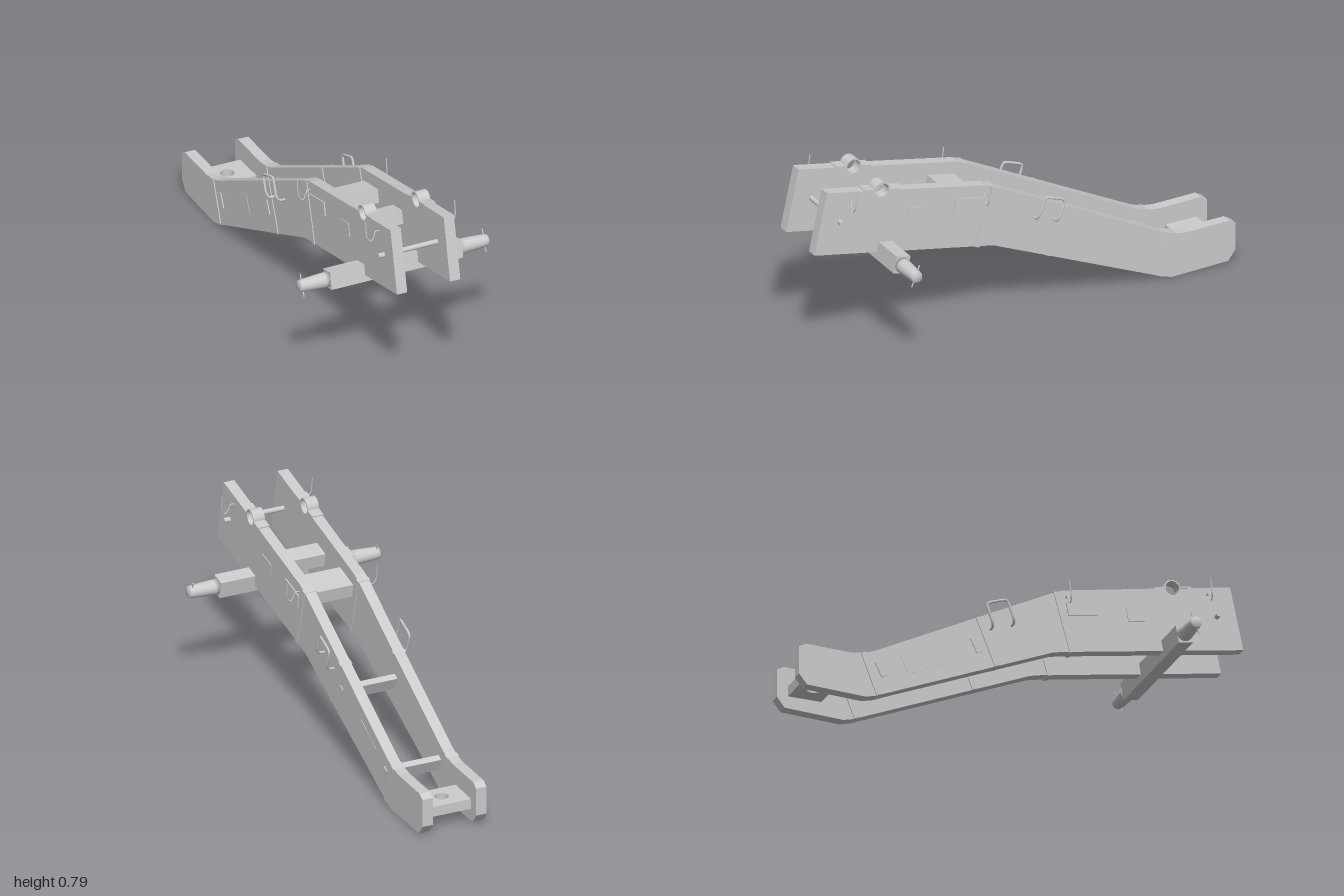
import * as THREE from 'three';

const mat = new THREE.MeshStandardMaterial({ color: 0xcccccc });
const SLOPE = 0.19; // pitch of the front part of the cheeks
const REAR = 0.455; // pitch of the rear part

export function createModel() {
  const root = new THREE.Group();

  const add = (name, geo, x = 0, y = 0, z = 0, pitch = 0) => {
    const m = new THREE.Mesh(geo, mat);
    m.name = name;
    m.position.set(x, y, z);
    m.rotation.x = pitch;
    root.add(m);
    return m;
  };
  const box = (name, w, h, d, x, y, z, pitch = 0) =>
    add(name, new THREE.BoxGeometry(w, h, d), x, y, z, pitch);
  // extrude a (z, y) side outline across x
  const sideExtrude = (name, shape, x0, x1) => {
    const g = new THREE.ExtrudeGeometry(shape, { depth: x1 - x0, bevelEnabled: false, curveSegments: 16 });
    g.rotateY(-Math.PI / 2);
    g.translate(x1, 0, 0);
    return add(name, g);
  };
  const tube = (name, pts, r, tension = 0.3) => {
    const curve = new THREE.CatmullRomCurve3(pts.map(p => new THREE.Vector3(...p)), false, 'catmullrom', tension);
    return add(name, new THREE.TubeGeometry(curve, 40, r, 8));
  };

  // cheek outline with a half-round trunnion seat in the top edge
  const seat = { z: 0.68, y: 0.741, r: 0.031 };
  const cheek = new THREE.Shape();
  cheek.moveTo(1.0, 0.512);
  cheek.lineTo(0.94, 0.79);
  cheek.absarc(seat.z, seat.y, seat.r, SLOPE, SLOPE - Math.PI, true);
  [[0.19, 0.645], [0.15, 0.63], [-0.66, 0.218], [-0.71, 0.2], [-0.77, 0.192],
    [-0.97, 0.197], [-1.0, 0.18], [-1.0, 0.055], [-0.965, 0.01], [-0.7, 0.0],
    [-0.655, 0.012], [0.14, 0.35], [0.18, 0.36]].forEach(p => cheek.lineTo(...p));
  cheek.closePath();

  // strap over the trunnion seat
  const cap = new THREE.Shape();
  cap.absarc(seat.z, seat.y, 0.037, SLOPE, SLOPE + Math.PI, false);
  cap.absarc(seat.z, seat.y, seat.r, SLOPE + Math.PI, SLOPE, true);
  cap.closePath();

  // iron bands across the cheek: lower and upper ends as [z, y]
  const bands = [
    [[0.228, 0.368], [0.155, 0.63]],
    [[-0.11, 0.246], [-0.195, 0.452]],
    [[-0.643, 0.02], [-0.712, 0.2]],
  ];

  // axle arm: tapered with a rounded end
  const armProfile = [[0, 0], [0.033, 0], [0.033, 0.02], [0.031, 0.06], [0.0275, 0.11],
    [0.026, 0.128], [0.022, 0.136], [0, 0.138]].map(p => new THREE.Vector2(...p));

  for (const s of [1, -1]) {
    const side = s > 0 ? 'left' : 'right';
    const span = (a, b) => s > 0 ? [a, b] : [-b, -a];

    sideExtrude(side + 'Cheek', cheek, ...span(0.1, 0.148));
    sideExtrude(side + 'TrunnionCap', cap, ...span(0.098, 0.151));
    for (const d of [-0.057, 0.06])
      box(side + 'CapFoot', 0.053, 0.006, 0.05, s * 0.1245, seat.y + d * SLOPE + 0.002, seat.z + d, -SLOPE);

    for (const [a, b] of bands) {
      const dz = b[0] - a[0], dy = b[1] - a[1];
      box(side + 'Band', 0.056, Math.hypot(dz, dy) + 0.004, 0.022, s * 0.124,
        (a[1] + b[1]) / 2, (a[0] + b[0]) / 2, Math.atan2(dz, dy));
    }
    // thin wear plate on the rear slope
    box(side + 'WearPlate', 0.003, 0.09, 0.16, s * 0.148, 0.213, -0.455, -REAR);

    // tool hooks
    for (const [y, z] of [[0.735, 0.835], [0.612, 0.2]])
      tube(side + 'Hook', [[0.145, 0, 0], [0.165, 0.002, 0], [0.174, -0.017, 0.003], [0.183, -0.034, 0.004],
        [0.191, -0.037, 0.004], [0.2, -0.027, 0.003], [0.207, -0.008, 0], [0.208, 0.054, -0.008]]
        .map(p => [s * p[0], y + p[1], z + p[2]]), 0.0028, 0.5);

    // lifting handle
    tube(side + 'Handle', [[0.145, 0.442, -0.043], [0.172, 0.443, -0.043], [0.184, 0.463, -0.05],
      [0.185, 0.525, -0.073], [0.185, 0.537, -0.085], [0.185, 0.514, -0.155], [0.185, 0.498, -0.168],
      [0.184, 0.432, -0.146], [0.172, 0.41, -0.138], [0.145, 0.408, -0.138]]
      .map(p => [s * p[0], p[1], p[2]]), 0.0055);

    // axle arm and linchpin
    const arm = add(side + 'AxleArm', new THREE.LatheGeometry(armProfile, 32), s * 0.306, 0.46, 0.67);
    arm.rotation.z = -s * Math.PI / 2;
    add(side + 'Linchpin', new THREE.CylinderGeometry(0.003, 0.003, 0.1, 8), s * 0.425, 0.46, 0.67, -0.38);
  }

  // axle bed
  box('axleBed', 0.614, 0.077, 0.066, 0, 0.46, 0.67, -SLOPE);

  // transoms, let through both cheeks
  box('frontTransom', 0.303, 0.061, 0.084, 0, 0.591, 0.5175, -SLOPE);
  box('bedTransom', 0.307, 0.061, 0.131, 0, 0.574, 0.27, -SLOPE);
  box('middleTransom', 0.305, 0.067, 0.028, 0, 0.323, -0.203, -REAR);
  box('rearTransom', 0.305, 0.067, 0.028, 0, 0.138, -0.632, -REAR);

  // tail plate with a pintle hole
  const plate = new THREE.Shape([[-0.105, -0.95], [0.105, -0.95], [0.105, -0.8], [-0.105, -0.8]]
    .map(p => new THREE.Vector2(...p)));
  const hole = new THREE.Path();
  hole.absarc(0, -0.873, 0.03, 0, Math.PI * 2, true);
  plate.holes.push(hole);
  const plateGeo = new THREE.ExtrudeGeometry(plate, { depth: 0.045, bevelEnabled: false, curveSegments: 24 });
  plateGeo.rotateX(Math.PI / 2);
  add('tailPlate', plateGeo, 0, 0.11, 0);

  // cross rod through the front of the cheeks
  const rod = add('crossRod', new THREE.CylinderGeometry(0.011, 0.011, 0.352, 20), 0, 0.644, 0.88);
  rod.rotation.z = Math.PI / 2;

  return root;
}
